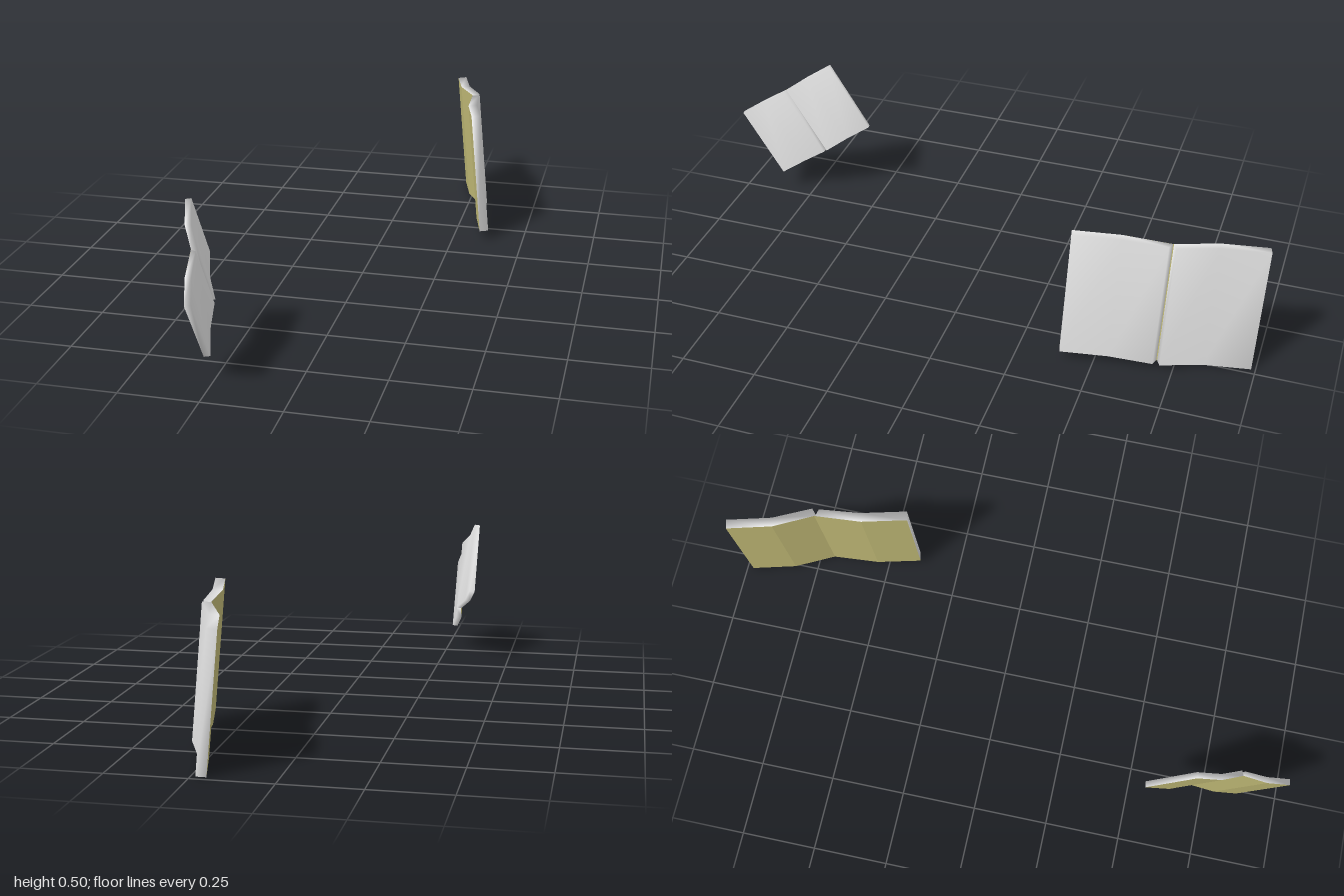
import * as THREE from 'three';

// Cross-section of an open book: [along the spread, depth towards the pages]
const COVER = [[0, 0], [0.155, 0.002], [0.312, 0.03], [0.455, 0], [0.61, 0]];
const PAGE_BLOCKS = [
  { name: 'firstPages', back: [[0, 0], [0.155, 0.002], [0.309, 0.03]], front: [[0, 0.031], [0.155, 0.033], [0.296, 0.053]] },
  { name: 'secondPages', back: [[0.312, 0.03], [0.455, 0], [0.61, 0]], front: [[0.318, 0.057], [0.455, 0.031], [0.61, 0.031]] },
];
const HEIGHT = 0.43;

function makeGeometry(points, index) {
  const g = new THREE.BufferGeometry();
  g.setAttribute('position', new THREE.Float32BufferAttribute(points.flat(), 3));
  g.setIndex(index);
  return g;
}

// Soft-edged page block: the fore edges, page face and both ends share normals
function pagesGeometry({ back, front }) {
  const loop = [back[0], ...front, back[2], back[1]];
  const n = loop.length;
  const points = [0, -HEIGHT].flatMap((y) => loop.map(([u, d]) => [u, y, d]));
  const index = [];
  for (let i = 0; i < 4; i++) {
    const a = i, b = i + 1;
    index.push(a, a + n, b, b, a + n, b + n);
  }
  // ends, as two quads each
  for (const [a, b, c, d] of [[0, 1, 2, 5], [5, 2, 3, 4]]) {
    index.push(a, b, c, a, c, d);
    index.push(a + n, c + n, b + n, a + n, d + n, c + n);
  }
  const g = makeGeometry(points, index);
  g.computeVertexNormals();
  return g;
}

// Folded cover sheet facing away from the pages
function coverGeometry() {
  const points = COVER.flatMap(([u, d]) => [[u, 0, d], [u, -HEIGHT, d]]);
  const index = [];
  for (let i = 0; i < COVER.length - 1; i++) {
    const a = 2 * i;
    index.push(a, a + 2, a + 1, a + 2, a + 3, a + 1);
  }
  const g = makeGeometry(points, index).toNonIndexed();
  g.computeVertexNormals();
  return g;
}

export function createModel() {
  const paper = new THREE.MeshStandardMaterial({ color: 0xffffff, side: THREE.DoubleSide });
  paper.name = 'paper';
  const olive = new THREE.MeshStandardMaterial({ color: 0xc4bd78, side: THREE.DoubleSide });
  olive.name = 'oliveCover';

  // A book hung from its top outer cover corner
  function book(name, corner, along, up, scale) {
    const group = new THREE.Group();
    group.name = name;
    const cover = new THREE.Mesh(coverGeometry(), olive);
    cover.name = 'cover';
    group.add(cover);
    for (const block of PAGE_BLOCKS) {
      const mesh = new THREE.Mesh(pagesGeometry(block), paper);
      mesh.name = block.name;
      group.add(mesh);
    }
    const u = new THREE.Vector3(...along).normalize();
    const n = new THREE.Vector3().crossVectors(u, new THREE.Vector3(...up)).normalize();
    const v = new THREE.Vector3().crossVectors(n, u);
    group.quaternion.setFromRotationMatrix(new THREE.Matrix4().makeBasis(u, v, n));
    group.position.set(...corner);
    group.scale.setScalar(scale);
    return group;
  }

  // the spread runs towards the viewer's far side, so page depth is u x up
  const model = new THREE.Group();
  model.name = 'openBooks';
  const flip = (name, corner, along, up, scale) => {
    // start from the opposite corner with the profile reversed
    const len = 0.61 * scale;
    const u = new THREE.Vector3(...along).normalize();
    const start = new THREE.Vector3(...corner).addScaledVector(u, len);
    const g = book(name, start.toArray(), u.clone().negate().toArray(), up, scale);
    return g;
  };
  model.add(flip('largeBook', [0.16, 0.43, -0.992], [0.143, 0.032, 0.59], [-0.043, 0.428, -0.012], 1));
  model.add(flip('smallBook', [-0.378, 0.498, 0.692], [0.097, -0.195, 0.31], [0, 0.228, 0.145], 0.625));
  return model;
}
